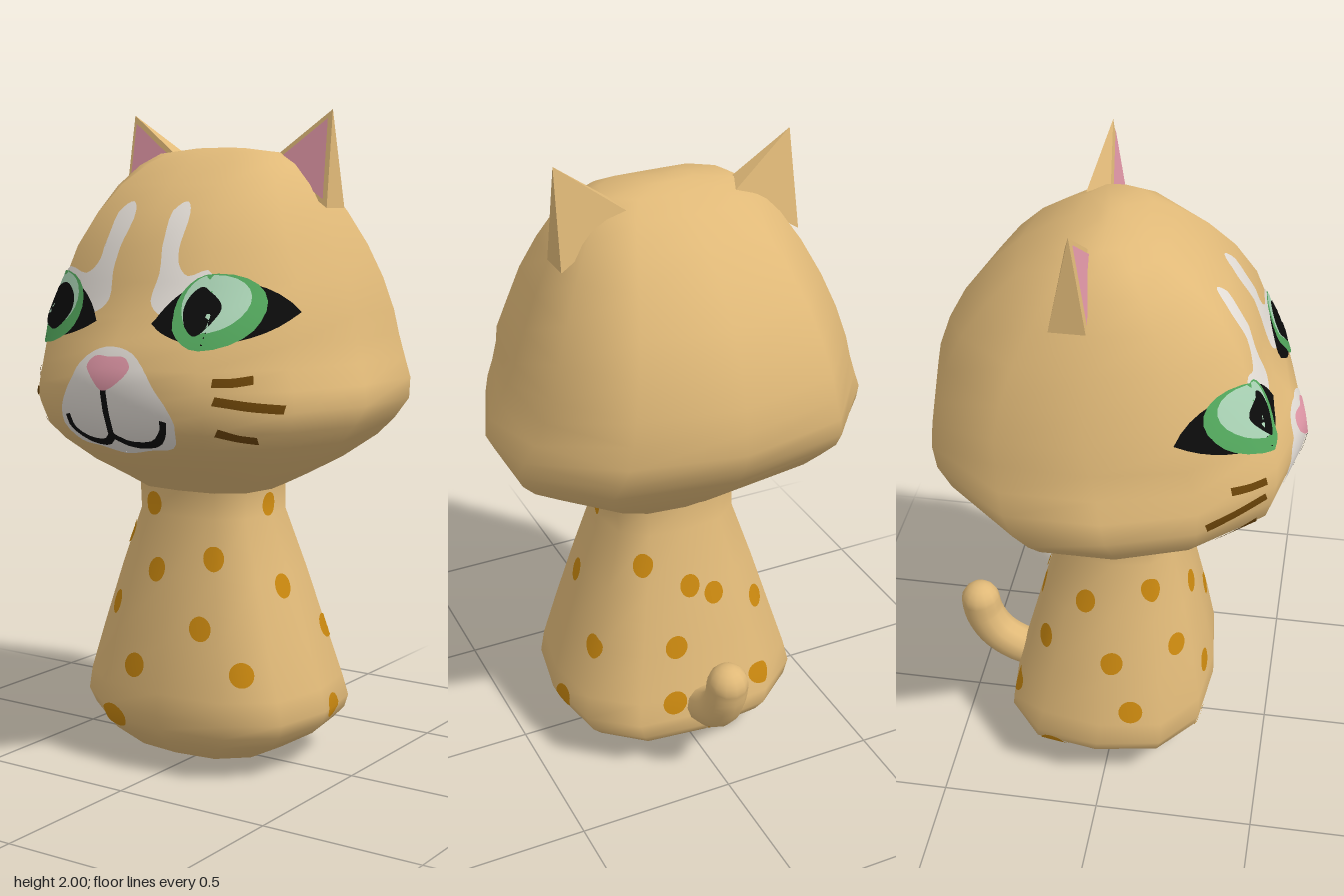
import * as THREE from 'three';
import { mergeVertices } from 'three/addons/utils/BufferGeometryUtils.js';

const mat = (name, color) => Object.assign(new THREE.MeshStandardMaterial({ color }), { name });
const V2 = (x, y) => new THREE.Vector2(x, y);

// Half outlines seen from above, front centre to back centre, in unit size
const BODY = [[0, 1], [0.56, 0.93], [0.91, 0.6], [1, 0], [0.91, -0.6], [0.56, -0.93], [0, -1]];
const MUZZLE = [[0, 1], [0.52, 0.885], [0.84, 0.51], [1, 0.04], [1, -0.46], [0.64, -0.885], [0, -1]];
const FACE = [[0, 1], [0.58, 0.99], [0.92, 0.53], [1, 0.04], [0.97, -0.47], [0.63, -0.885], [0, -1]];

// Rings: [y, half width, front z, back z, position in the list of outlines]
function loft(rings, outlines) {
  const pos = [], idx = [], n = 12;
  for (const [y, w, f, b, t = 0] of rings) {
    const A = outlines[Math.floor(t)], B = outlines[Math.ceil(t)];
    for (let j = 0; j < n; j++) {
      const k = j <= 6 ? j : n - j, s = j <= 6 ? 1 : -1;
      const x = THREE.MathUtils.lerp(A[k][0], B[k][0], t % 1);
      const z = THREE.MathUtils.lerp(A[k][1], B[k][1], t % 1);
      pos.push(s * x * w, y, (f + b) / 2 + z * (f - b) / 2);
    }
  }
  for (let i = 0; i < rings.length - 1; i++) {
    for (let j = 0; j < n; j++) {
      const a = i * n + j, b = i * n + (j + 1) % n;
      idx.push(a, b, b + n, a, b + n, a + n);
    }
  }
  let geo = new THREE.BufferGeometry();
  geo.setAttribute('position', new THREE.Float32BufferAttribute(pos, 3));
  geo.setIndex(idx);
  geo = mergeVertices(geo);
  geo.computeVertexNormals();
  return geo;
}

// Flat outlines for the painted details
const blob = (pts, s = 1) => new THREE.CatmullRomCurve3(
  pts.map(([x, y]) => new THREE.Vector3(x * s, y, 0)), true).getPoints(44).slice(0, -1).map(p => V2(p.x, p.y));

const oval = (x, y, rx, ry) => Array.from({ length: 24 }, (_, i) =>
  V2(x + rx * Math.cos(i * Math.PI / 12), y + ry * Math.sin(i * Math.PI / 12)));

function stroke(pts, width, s = 1) {
  const path = new THREE.SplineCurve(pts.map(([x, y]) => V2(x * s, y)));
  const left = [], right = [];
  for (let i = 0; i <= 10; i++) {
    const p = path.getPoint(i / 10), t = path.getTangent(i / 10);
    const side = V2(-t.y, t.x).multiplyScalar(width / 2);
    left.push(p.clone().add(side));
    right.unshift(p.clone().sub(side));
  }
  return [...left, ...right];
}

// Lays a flat outline on a target mesh, seen from the given angle about y
function decal(target, outline, material, name, lift, angle = 0) {
  const flat = new THREE.ShapeGeometry(new THREE.Shape(outline));
  const P = flat.attributes.position, I = flat.index.array, tris = [];
  const split = (a, b, c) => {
    const [l0, l1, l2] = [a.distanceTo(b), b.distanceTo(c), c.distanceTo(a)];
    const longest = Math.max(l0, l1, l2);
    if (longest < 0.025) { tris.push(a, b, c); return; }
    if (longest === l1) [a, b, c] = [b, c, a];
    else if (longest === l2) [a, b, c] = [c, a, b];
    const m = a.clone().add(b).multiplyScalar(0.5);
    split(a, m, c);
    split(m, b, c);
  };
  for (let i = 0; i < I.length; i += 3) {
    split(...[0, 1, 2].map(k => V2(P.getX(I[i + k]), P.getY(I[i + k]))));
  }
  const dir = new THREE.Vector3(Math.sin(angle), 0, Math.cos(angle));
  const across = new THREE.Vector3(dir.z, 0, -dir.x);
  const ray = new THREE.Raycaster(), cache = new Map(), pos = [], nor = [];
  const project = p => {
    const key = p.x.toFixed(5) + ',' + p.y.toFixed(5);
    if (!cache.has(key)) {
      const origin = across.clone().multiplyScalar(p.x).addScaledVector(dir, 2);
      origin.y = p.y;
      ray.set(origin, dir.clone().negate());
      const hit = ray.intersectObject(target, false)[0];
      const normal = hit && hit.normal.clone().normalize();
      cache.set(key, hit ? [hit.point.clone().addScaledVector(normal, lift), normal] : null);
    }
    return cache.get(key);
  };
  for (let i = 0; i < tris.length; i += 3) {
    const hits = [0, 1, 2].map(k => project(tris[i + k]));
    if (hits.includes(null)) continue;
    for (const [p, n] of hits) { pos.push(p.x, p.y, p.z); nor.push(n.x, n.y, n.z); }
  }
  const geo = new THREE.BufferGeometry();
  geo.setAttribute('position', new THREE.Float32BufferAttribute(pos, 3));
  geo.setAttribute('normal', new THREE.Float32BufferAttribute(nor, 3));
  const mesh = new THREE.Mesh(geo, material);
  mesh.name = name;
  return mesh;
}

// Flat triangles, with the corner order swapped on the mirrored side
function facets(list, s) {
  const pos = [];
  for (const [a, b, c] of list) for (const p of s > 0 ? [a, b, c] : [a, c, b]) pos.push(p[0] * s, p[1], p[2]);
  const geo = new THREE.BufferGeometry();
  geo.setAttribute('position', new THREE.Float32BufferAttribute(pos, 3));
  geo.computeVertexNormals();
  return geo;
}

export function createModel() {
  const model = new THREE.Group();
  model.name = 'cat';
  const fur = mat('tanFur', 0xe0b978), white = mat('whiteFur', 0xe2dcd5), pink = mat('pink', 0xe298a8);
  const black = mat('black', 0x0b0b0b), green = mat('eyeGreen', 0x52a65c), mint = mat('eyeMint', 0xa9d2b4);
  const orange = mat('spotOrange', 0xca880f), brown = mat('whiskerBrown', 0x6b4408);
  const add = (geo, material, name) => {
    const mesh = new THREE.Mesh(geo, material);
    mesh.name = name;
    model.add(mesh);
    mesh.updateMatrixWorld();
    return mesh;
  };

  // Body
  const neck = [0.86, 0.218, 0.2, -0.17];
  const body = add(loft([
    [0, 0, 0, 0], [0.005, 0.13, 0.12, -0.12], [0.04, 0.24, 0.22, -0.24], [0.1, 0.345, 0.285, -0.33],
    [0.135, 0.38, 0.305, -0.35], [0.18, 0.4, 0.318, -0.345], [0.25, 0.385, 0.315, -0.325], [0.4, 0.338, 0.288, -0.285],
    [0.6, 0.275, 0.245, -0.232], [0.78, 0.215, 0.2, -0.177], neck,
  ], [BODY]), fur, 'body');

  // Head
  const head = add(loft([
    neck, [0.9, 0.29, 0.27, -0.22, 0.6], [0.96, 0.39, 0.385, -0.305, 1], [1.03, 0.485, 0.48, -0.395, 1],
    [1.08, 0.53, 0.53, -0.445, 1], [1.14, 0.56, 0.552, -0.505, 1], [1.2, 0.548, 0.565, -0.55, 1], [1.26, 0.522, 0.555, -0.567, 1.15],
    [1.33, 0.5, 0.513, -0.562, 1.5], [1.4, 0.485, 0.457, -0.55, 2], [1.5, 0.452, 0.415, -0.515, 2], [1.6, 0.412, 0.38, -0.462, 2],
    [1.7, 0.363, 0.315, -0.38, 2], [1.78, 0.313, 0.235, -0.293, 2], [1.84, 0.257, 0.15, -0.2, 2],
    [1.875, 0.2, 0.08, -0.125, 2], [1.89, 0.08, 0.01, -0.06, 2], [1.892, 0, -0.03, -0.03, 2],
  ], [BODY, MUZZLE, FACE]), fur, 'head');

  const paint = (outline, material, name, lift) => model.add(decal(head, outline, material, name, lift));

  // Muzzle, nose and mouth
  const bothSides = pts => [...pts, ...pts.filter(p => p[0] > 0).reverse().map(([x, y]) => [-x, y])];
  paint(blob(bothSides([[0, 1.32], [0.085, 1.295], [0.15, 1.21], [0.2, 1.11], [0.17, 1.04], [0.09, 1.025], [0, 1.01]])),
    white, 'muzzle', 0.004);
  paint(blob(bothSides([[0, 1.292], [0.055, 1.29], [0.075, 1.265], [0.045, 1.225], [0, 1.2]])), pink, 'nose', 0.007);
  paint(stroke([[0, 1.205], [0, 1.06]], 0.02), black, 'mouthLine', 0.007);

  for (const s of [1, -1]) {
    paint(stroke([[0, 1.072], [0.045, 1.046], [0.115, 1.05], [0.158, 1.083], [0.168, 1.12]], 0.02, s), black, 'mouthCurve', 0.0075);

    // White brow stripe running into the eye
    paint(blob([[0.066, 1.7], [0.097, 1.728], [0.127, 1.7], [0.133, 1.61], [0.142, 1.555], [0.18, 1.52], [0.25, 1.537],
      [0.27, 1.46], [0.18, 1.4], [0.115, 1.41], [0.075, 1.445], [0.083, 1.53], [0.073, 1.61]], s), white, 'browStripe', 0.004);

    // Eye layers
    const almond = new THREE.Shape().moveTo(0.1 * s, 1.385);
    almond.bezierCurveTo(0.17 * s, 1.52, 0.33 * s, 1.56, 0.44 * s, 1.418);
    almond.bezierCurveTo(0.37 * s, 1.31, 0.22 * s, 1.31, 0.1 * s, 1.385);
    paint(almond.getPoints(14).slice(0, -1), black, 'eyeOutline', 0.0055);
    paint(oval(0.27 * s, 1.422, 0.107, 0.105), green, 'iris', 0.007);
    paint(oval(0.265 * s, 1.443, 0.08, 0.08), mint, 'irisHighlight', 0.0085);
    paint(blob([[0.245, 1.49], [0.297, 1.435], [0.278, 1.375], [0.245, 1.355], [0.197, 1.41], [0.205, 1.46]], s), black, 'pupil', 0.01);

    // Whiskers
    for (const [x0, y0, x1, y1] of [[0.305, 1.23, 0.38, 1.235], [0.31, 1.18, 0.448, 1.15], [0.305, 1.09, 0.375, 1.06]]) {
      paint(stroke([[x0, y0], [(x0 + x1) / 2, (y0 + y1) / 2 - 0.004], [x1, y1]], 0.025, s), brown, 'whisker', 0.004);
    }

    // Ear: four-sided spike with a pink front panel
    const tip = [0.365, 2, -0.08], inF = [0.16, 1.85, -0.055], inB = [0.16, 1.85, -0.13];
    const outF = [0.373, 1.71, -0.035], outB = [0.373, 1.71, -0.14];
    add(facets([[tip, inF, outF], [tip, outF, outB], [tip, outB, inB], [tip, inB, inF]], s), fur, 'ear');
    const panel = [tip, inF, outF].map(p => p.map((v, i) => {
      const mid = (tip[i] + inF[i] + outF[i]) / 3;
      return mid + (v - mid) * 0.82 + (i === 2 ? 0.005 : 0);
    }));
    add(facets([panel], s), pink, 'innerEar');
  }

  // Body spots: [angle in degrees from the front toward the left side, height]
  const spots = [[-27, 0.81], [-59, 0.7], [33, 0.665], [-13, 0.615], [-46, 0.488], [25, 0.458], [-19, 0.32], [47, 0.33],
    [-32, 0.15], [82, 0.815], [80, 0.57], [116, 0.41], [101, 0.185], [140, 0.69], [-106, 0.65], [177, 0.605], [-164, 0.56],
    [-131, 0.475], [-86, 0.46], [164, 0.415], [-146, 0.245], [-115, 0.125], [-173, 0.13], [162, 0.235], [-76, 0.295]];
  for (const [deg, y] of spots) {
    model.add(decal(body, oval(0, y, 0.043 - 0.018 * y, 0.037), orange, 'spot', 0.004, deg * Math.PI / 180));
  }

  // Tail with a rounded tip
  const tailPath = new THREE.CatmullRomCurve3([[-0.28, 0.195], [-0.355, 0.215], [-0.425, 0.265], [-0.465, 0.335], [-0.477, 0.392]]
    .map(([z, y]) => new THREE.Vector3(0, y, z)));
  add(new THREE.TubeGeometry(tailPath, 16, 0.065, 12), fur, 'tail');
  add(new THREE.SphereGeometry(0.065, 12, 10).translate(0, 0.392, -0.477), fur, 'tailTip');

  return model;
}
